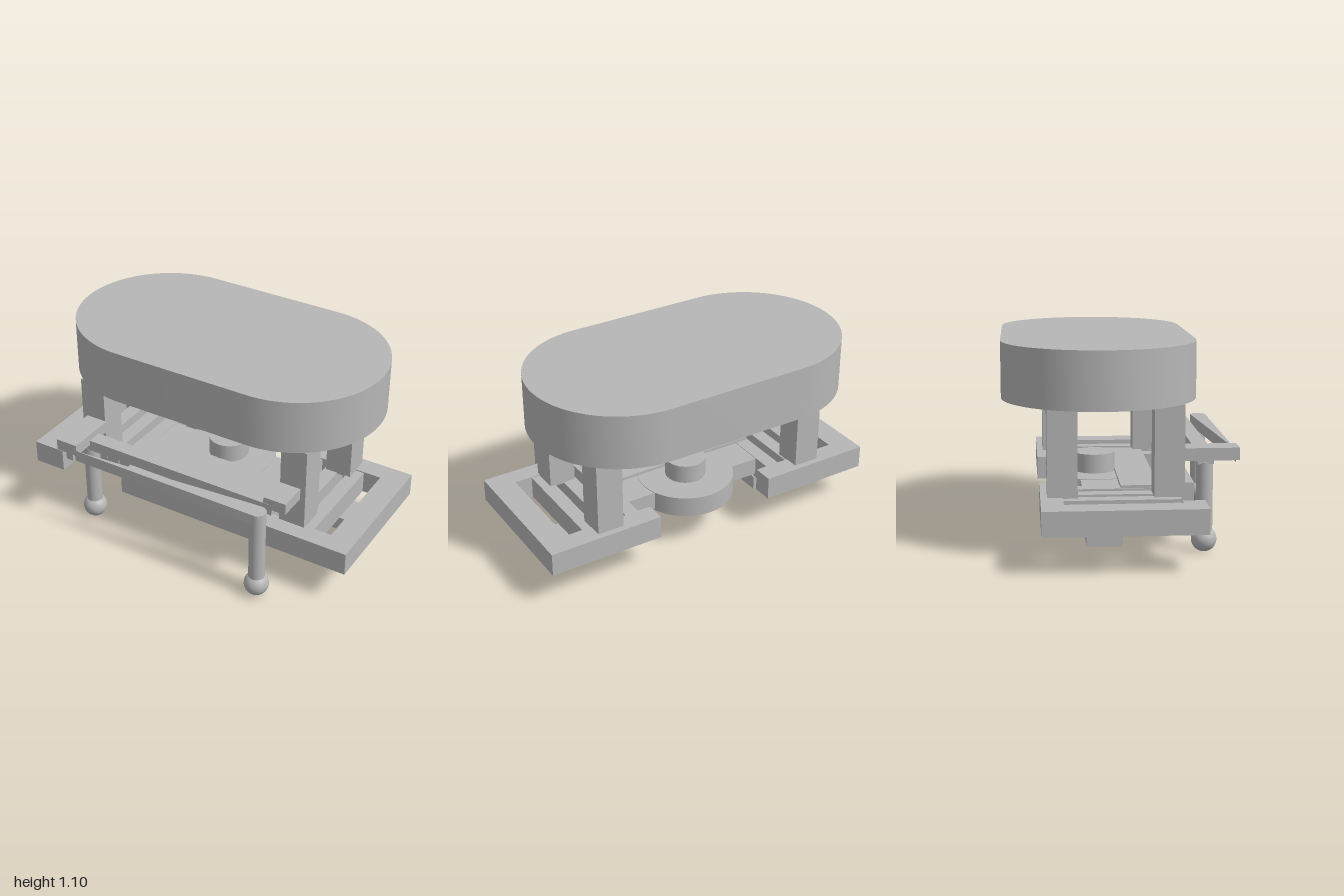
import * as THREE from 'three';
import { toCreasedNormals } from 'three/addons/utils/BufferGeometryUtils.js';

export function createModel() {
  const model = new THREE.Group();
  const grey = new THREE.MeshStandardMaterial({ color: 0xb6b6b6 });
  grey.name = 'grey';

  const add = (name, geometry) => {
    const mesh = new THREE.Mesh(geometry, grey);
    mesh.name = name;
    model.add(mesh);
    return mesh;
  };
  // Box from its limits along each axis
  const box = (name, x0, x1, y0, y1, z0, z1) =>
    add(name, new THREE.BoxGeometry(x1 - x0, y1 - y0, z1 - z0))
      .position.set((x0 + x1) / 2, (y0 + y1) / 2, (z0 + z1) / 2);
  // Same box mirrored on both sides
  const pair = (name, x0, x1, ...rest) => {
    box(name + 'Left', x0, x1, ...rest);
    box(name + 'Right', -x1, -x0, ...rest);
  };
  const cylinder = (name, r, x, y0, y1, z) =>
    add(name, new THREE.CylinderGeometry(r, r, y1 - y0, 48)).position.set(x, (y0 + y1) / 2, z);
  // Plan outline in x and z, extruded between two heights
  const plan = (name, shape, y0, y1) => {
    const g = new THREE.ExtrudeGeometry(shape, { depth: y1 - y0, bevelEnabled: false, curveSegments: 32 });
    g.rotateX(Math.PI / 2).translate(0, y1, 0);
    add(name, toCreasedNormals(g, 0.5));
  };

  const midZ = -0.11;

  // Large rounded top
  const top = new THREE.Shape();
  top.absarc(0.4, midZ, 0.51, -Math.PI / 2, Math.PI / 2, false);
  top.absarc(-0.4, midZ, 0.51, Math.PI / 2, Math.PI * 1.5, false);
  plan('top', top, 0.8, 1.1);
  cylinder('topBoss', 0.113, 0, 0.75, 0.8, midZ);

  // Four square legs
  pair('frontLeg', 0.56, 0.71, 0.32, 0.8, 0.155, 0.31);
  pair('backLeg', 0.56, 0.71, 0.32, 0.8, -0.39, -0.235);

  // Base frame, open at the back and at the right front
  pair('frameSide', 0.86, 1, 0.2, 0.33, -0.425, 0.4);
  pair('frameBack', 0.35, 0.86, 0.2, 0.33, -0.425, -0.31);
  box('frameFront', -0.4, 0.86, 0.2, 0.33, 0.29, 0.4);
  box('frameCorner', -0.86, -0.81, 0.2, 0.33, 0.285, 0.4);

  // Grille slats and the plates below them
  for (const x of [0.42, 0.55, 0.68]) pair('slat', x, x + 0.08, 0.2, 0.325, -0.31, 0.29);
  pair('lowerPlate', 0.41, 0.885, 0.12, 0.2, -0.2, -0.02);

  // Latch parts in the front gap
  box('latchLip', -0.81, -0.4, 0.2, 0.255, 0.21, 0.285);
  box('latchPin', -0.82, -0.765, 0.26, 0.31, 0.25, 0.365);
  box('latchBlock', -0.69, -0.49, 0.255, 0.36, 0.2, 0.3);

  // Hub with its web plate
  cylinder('hubDisk', 0.27, 0, 0.21, 0.325, midZ);
  cylinder('hubPin', 0.113, 0, 0.12, 0.43, midZ);
  box('hubArm', -0.45, 0.45, 0.22, 0.322, -0.2, 0.02);
  box('hubPlate', -0.49, 0.49, 0.27, 0.34, 0, 0.2);

  // Front rails and the brackets that carry them
  box('bracketRight', -0.68, -0.55, 0.505, 0.57, 0.31, 0.595);
  box('bracketLeft', 0.55, 0.68, 0.505, 0.57, 0.31, 0.47);
  box('rearRail', -0.61, 0.6, 0.472, 0.535, 0.387, 0.472);
  const rail = new THREE.Shape();
  rail.moveTo(-0.56, 0.505);
  rail.absarc(0.565, 0.55, 0.045, -Math.PI / 2, Math.PI / 2, false);
  rail.lineTo(-0.56, 0.595);
  plan('frontRail', rail, 0.472, 0.537);

  // Two posts with ball feet
  for (const [side, x, z, y1] of [['Left', 0.565, 0.552, 0.53], ['Right', -0.57, 0.43, 0.48]]) {
    cylinder('post' + side, 0.044, x, 0.08, y1, z);
    add('ballFoot' + side, new THREE.SphereGeometry(0.067, 32, 24)).position.set(x, 0.067, z);
  }
  return model;
}
